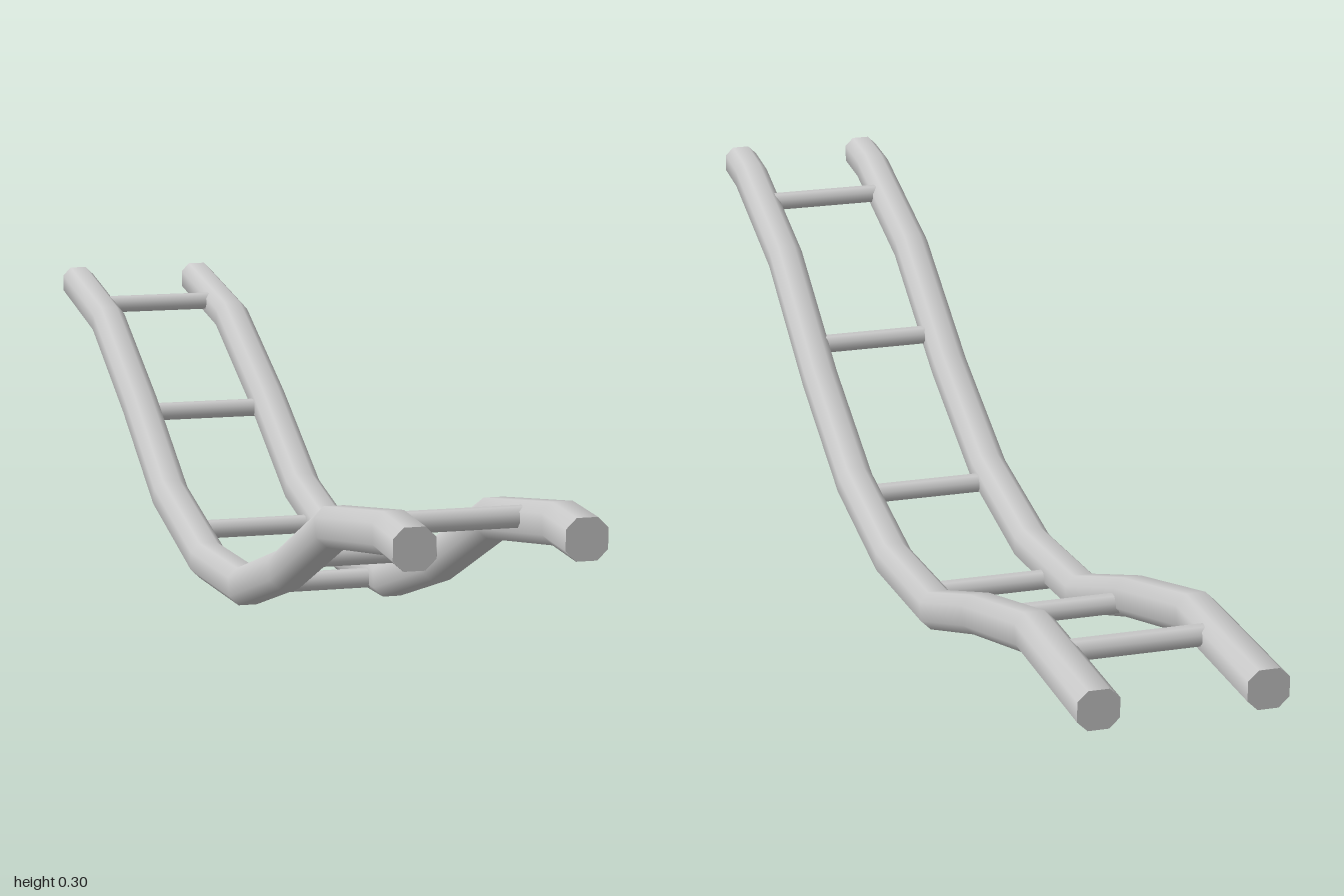
import * as THREE from 'three';

// Rail centre line as [z, y], front to back
const PATH = [
  [1, 0.276], [0.915, 0.276], [0.66, 0.227], [0.425, 0.119], [0.2, 0.044],
  [-0.035, 0.026], [-0.285, 0.066], [-0.5, 0.161], [-0.744, 0.251], [-1, 0.276],
].map(([z, y]) => new THREE.Vector3(0, y, z));

// Chamfered-square cross-section, [x, up], counter-clockwise seen from the front
const R = 0.025, C = 0.0125;
const SECTION = [[R, -C], [R, C], [C, R], [-C, R], [-R, C], [-R, -C], [-C, -R], [C, -R]];

// Sweep the section along the path with smooth sides and flat, sharp-edged caps
function railGeometry() {
  const n = SECTION.length, last = PATH.length - 1;
  const rings = PATH.map((p, i) => {
    const dirIn = PATH[Math.max(i, 1)].clone().sub(PATH[Math.max(i, 1) - 1]).normalize();
    const j = Math.min(i, last - 1);
    const dirOut = PATH[j + 1].clone().sub(PATH[j]).normalize();
    const t = dirIn.add(dirOut).normalize();
    if (i === 0 || i === last) t.set(0, 0, -1); // ends are cut upright
    return SECTION.map(([x, u]) => [x, p.y - t.z * u, p.z + t.y * u]);
  });
  const positions = rings.flat(2), index = [];
  for (let i = 0; i < last; i++) {
    for (let k = 0; k < n; k++) {
      const a = i * n + k, b = i * n + (k + 1) % n;
      index.push(a, a + n, b, b, a + n, b + n);
    }
  }
  // End caps get their own corners
  [rings[0], rings[last]].forEach((ring, e) => {
    const base = positions.length / 3;
    positions.push(...ring.flat());
    for (let k = 1; k < n - 1; k++) {
      if (e === 0) index.push(base, base + k, base + k + 1);
      else index.push(base, base + k + 1, base + k);
    }
  });
  const g = new THREE.BufferGeometry();
  g.setAttribute('position', new THREE.Float32BufferAttribute(positions, 3));
  g.setIndex(index);
  g.computeVertexNormals();
  return g;
}

export function createModel() {
  const model = new THREE.Group();
  model.name = 'curvedLadder';
  const material = new THREE.MeshStandardMaterial({ color: 0xcccccc });

  // Side rails
  const rail = railGeometry();
  for (const [name, x] of [['leftRail', 0.1], ['rightRail', -0.1]]) {
    const mesh = new THREE.Mesh(rail, material);
    mesh.name = name;
    mesh.position.x = x;
    model.add(mesh);
  }

  // Rungs between the rails, as [z, y]
  const rungGeometry = new THREE.CylinderGeometry(0.0135, 0.0135, 0.17, 8);
  rungGeometry.rotateY(Math.PI / 8).rotateZ(Math.PI / 2);
  const rungs = [[0.822, 0.265], [0.487, 0.149], [0.168, 0.038],
    [-0.173, 0.038], [-0.494, 0.151], [-0.828, 0.265]];
  rungs.forEach(([z, y], i) => {
    const rung = new THREE.Mesh(rungGeometry, material);
    rung.name = `rung${i + 1}`;
    rung.position.set(0, y, z);
    model.add(rung);
  });
  return model;
}
